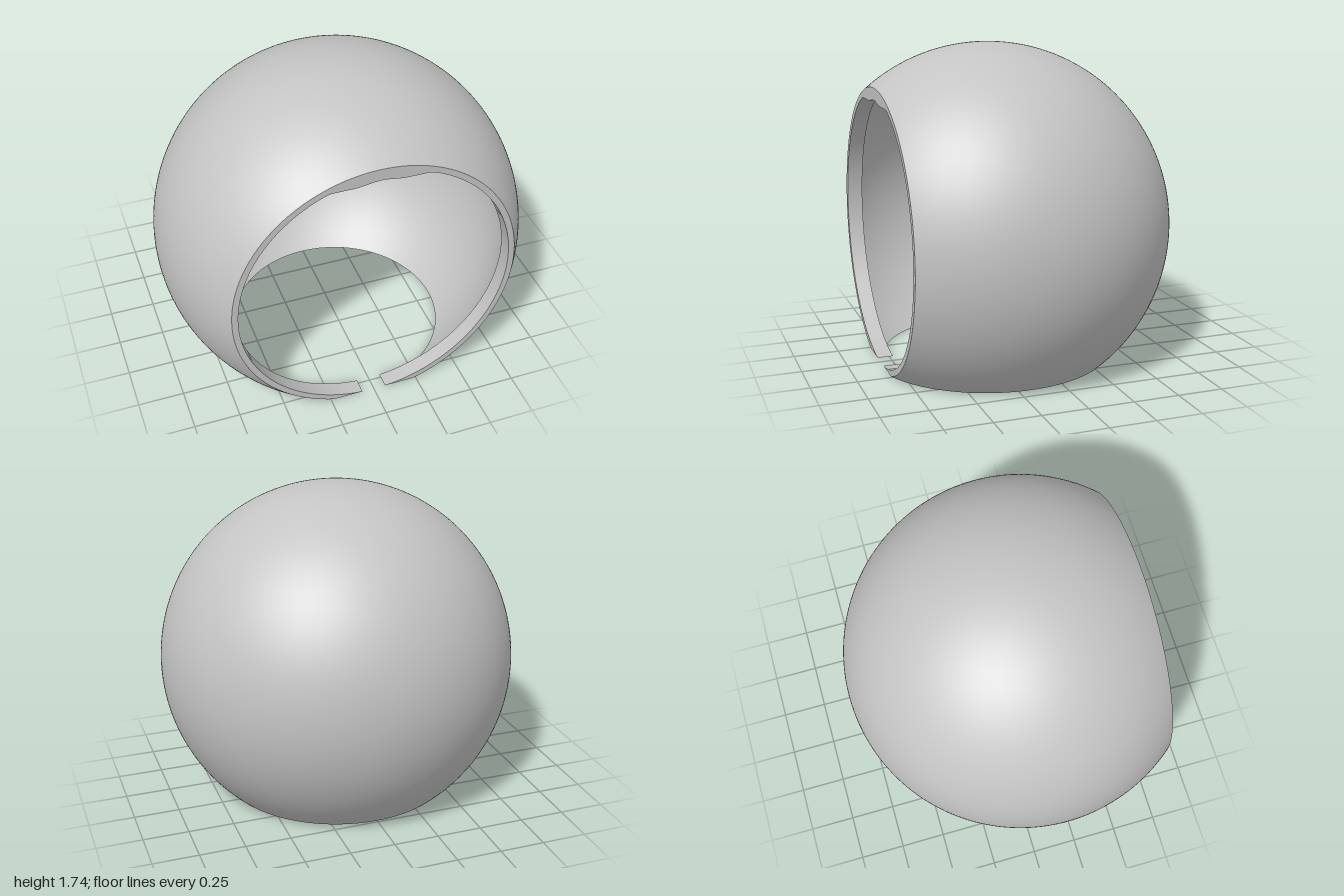
import * as THREE from 'three';
import { toCreasedNormals } from 'three/addons/utils/BufferGeometryUtils.js';

const OUTER = 1, INNER = 0.948;   // sphere radii
const FLOOR = -0.74;              // bottom cut, measured from the sphere centre
const FRONT = 0.63;               // front cut, measured from the sphere centre
const MOUTH = Math.sqrt(OUTER ** 2 - FRONT ** 2);   // radius of the front opening
const BACK = Math.sqrt(INNER ** 2 - MOUTH ** 2);    // where the lip meets the inner wall
const LIP = 0.743;                // inner radius of the lip

// Sphere wall in level rings, open where z > zCut and below the floor
function sphereWall(R, zCut, inward) {
  const cap = 28, rows = 72, cols = 128;
  const pos = [], nor = [], idx = [];
  const polar = Math.acos(MOUTH / R), tMax = Math.acos(FLOOR / MOUTH);
  const s = inward ? -1 : 1;
  for (let i = 0; i <= cap + rows; i++) {
    let y, a = 0;
    if (i <= cap) {
      y = R * Math.cos(polar * i / cap);
    } else {
      const t = tMax * (i - cap) / rows;
      y = MOUTH * Math.cos(t);
      a = Math.atan2(MOUTH * Math.sin(t), zCut);
    }
    const r = Math.sqrt(Math.max(0, R * R - y * y));
    for (let j = 0; j <= cols; j++) {
      const u = a + (2 * Math.PI - 2 * a) * j / cols;
      const x = r * Math.sin(u), z = r * Math.cos(u);
      pos.push(x, y, z);
      nor.push(s * x / R, s * y / R, s * z / R);
      if (i && j) {
        const d = i * (cols + 1) + j, c = d - 1, b = d - cols - 1, e = b - 1;
        if (inward) idx.push(e, b, c, b, d, c);
        else idx.push(e, c, b, b, c, d);
      }
    }
  }
  const g = new THREE.BufferGeometry();
  g.setAttribute('position', new THREE.Float32BufferAttribute(pos, 3));
  g.setAttribute('normal', new THREE.Float32BufferAttribute(nor, 3));
  g.setIndex(idx);
  return g;
}

// Points on an arc, with the angle measured from the vertical axis of the shape
function arc(r, from, to, n = 128) {
  return Array.from({ length: n + 1 }, (_, i) => {
    const t = from + (to - from) * i / n;
    return new THREE.Vector2(r * Math.sin(t), r * Math.cos(t));
  });
}

// Flat ring under the shell
function bottomRim() {
  const ro = Math.sqrt(OUTER ** 2 - FLOOR ** 2), ri = Math.sqrt(INNER ** 2 - FLOOR ** 2);
  const ao = Math.acos(FRONT / ro), ai = Math.acos(BACK / ri);
  const shape = new THREE.Shape([
    ...arc(ro, ao, 2 * Math.PI - ao), ...arc(ri, 2 * Math.PI - ai, ai)]);
  return new THREE.ShapeGeometry(shape).rotateX(Math.PI / 2).translate(0, FLOOR, 0);
}

// Lip around the front opening, flattened at the top with a shallow arch
function frontLip() {
  const to = Math.acos(FLOOR / MOUTH), ti = Math.acos(FLOOR / LIP);
  const inner = arc(LIP, ti, -ti, 192);
  for (const p of inner) {
    const arch = Math.abs(p.x) < 0.14 ? 0.008 * (1 + Math.cos(Math.PI * p.x / 0.14)) : 0;
    p.y = Math.min(p.y, 0.695 + arch);
  }
  const shape = new THREE.Shape([...arc(MOUTH, -to, to), ...inner]);
  const g = new THREE.ExtrudeGeometry(shape, { depth: FRONT - BACK, bevelEnabled: false });
  return toCreasedNormals(g.translate(0, 0, BACK), 0.5);
}

export function createModel() {
  const group = new THREE.Group();
  group.name = 'hollowSphereShell';
  const grey = new THREE.MeshStandardMaterial({ color: 0xc4c4c4 });
  grey.name = 'lightGrey';
  const add = (name, geometry) => {
    const mesh = new THREE.Mesh(geometry, grey);
    mesh.name = name;
    mesh.position.set(0, -FLOOR, 0.185);
    group.add(mesh);
  };
  add('outerWall', sphereWall(OUTER, FRONT, false));
  add('innerWall', sphereWall(INNER, BACK, true));
  add('bottomRim', bottomRim());
  add('frontLip', frontLip());
  return group;
}
